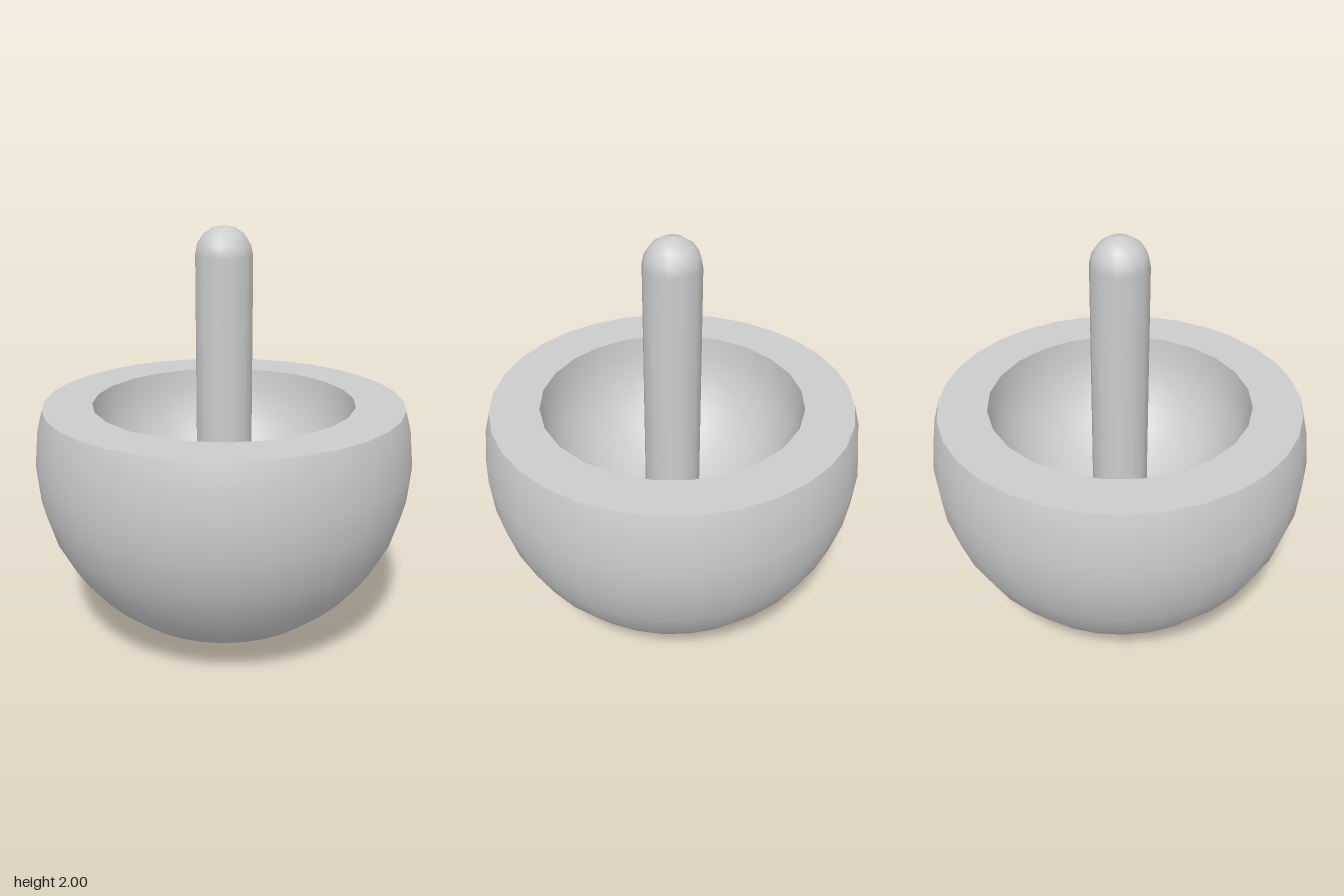
import * as THREE from 'three';

const R = 0.9, CENTER = 0.905, RIM_Y = 1.175, RIM_R = 0.858;
const CUP_R = 0.625, STEM_R = 0.135;

// Points on a circle arc; angle 0 is straight down, growing towards +x and up
function arc(radius, cy, from, to, steps) {
  return Array.from({ length: steps + 1 }, (_, i) => {
    const a = from + ((to - from) * i) / steps;
    return new THREE.Vector2(Math.max(0, Math.sin(a) * radius), cy - Math.cos(a) * radius);
  });
}

// Regular polygon with a corner on each axis
function ring(radius, sides) {
  return Array.from({ length: sides }, (_, i) => {
    const a = (i / sides) * Math.PI * 2;
    return new THREE.Vector2(Math.cos(a) * radius, Math.sin(a) * radius);
  });
}

export function createModel() {
  const model = new THREE.Group();
  model.name = 'spinningTop';
  const material = new THREE.MeshStandardMaterial({ color: 0xcccccc });
  const add = (name, geometry) => {
    const mesh = new THREE.Mesh(geometry, material);
    mesh.name = name;
    model.add(mesh);
    return mesh;
  };

  // Round body, cut off flat above its widest point
  const step = Math.PI / 16;
  const body = arc(R, CENTER, 0, step * 9, 9);
  body[0].y = 0;
  body.push(new THREE.Vector2(RIM_R, RIM_Y));
  add('body', new THREE.LatheGeometry(body, 32));

  // Flat rim between the body and the hollow
  const rim = new THREE.Shape(ring(RIM_R, 32));
  rim.holes.push(new THREE.Path(ring(CUP_R, 24)));
  const rimGeometry = new THREE.ShapeGeometry(rim);
  rimGeometry.rotateX(-Math.PI / 2);
  rimGeometry.translate(0, RIM_Y, 0);
  add('rim', rimGeometry);

  // Bowl-shaped hollow, facing inwards
  add('hollow', new THREE.LatheGeometry(arc(CUP_R, RIM_Y, Math.PI / 2, 0, 10), 24));

  // Stem with a domed tip, rising from the floor of the hollow
  const stem = [
    new THREE.Vector2(STEM_R, RIM_Y - CUP_R),
    new THREE.Vector2(STEM_R, 1.2),
    ...arc(STEM_R, 2 - STEM_R, Math.PI / 2, Math.PI, 4),
  ];
  add('stem', new THREE.LatheGeometry(stem, 12));

  return model;
}
